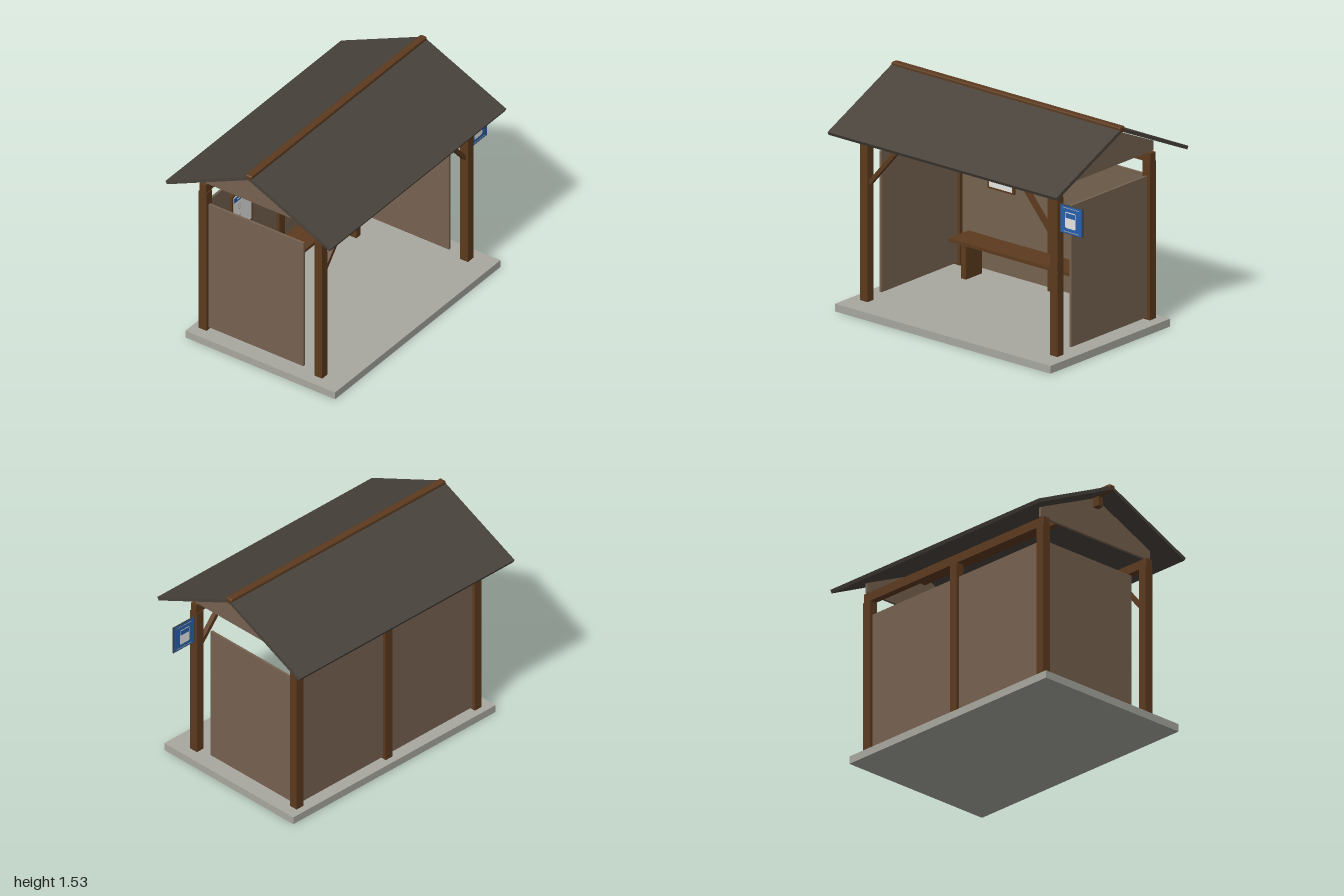
import * as THREE from 'three';
import { RoundedBoxGeometry } from 'three/addons/geometries/RoundedBoxGeometry.js';

const paint = (name, color) => {
  const m = new THREE.MeshStandardMaterial({ color });
  m.name = name;
  return m;
};

export function createModel() {
  const shelter = new THREE.Group();
  shelter.name = 'shelter';
  const wood = paint('brown timber', 0x5c3a1e);
  const panel = paint('taupe panel', 0x766250);
  const roofing = paint('dark roofing', 0x48423b);
  const concrete = paint('concrete', 0xa8a8a0);
  const blue = paint('sign blue', 0x2860ae);
  const white = paint('white', 0xe6e6e4);
  const steel = paint('dark steel', 0x3c4248);
  const grey = paint('grey print', 0xa0a0a0);

  const add = (name, geo, mat) => {
    const mesh = new THREE.Mesh(geo, mat);
    mesh.name = name;
    shelter.add(mesh);
    return mesh;
  };
  // Box given by its limits on each axis
  const box = (name, mat, x0, x1, y0, y1, z0, z1) => {
    const mesh = add(name, new THREE.BoxGeometry(x1 - x0, y1 - y0, z1 - z0), mat);
    mesh.position.set((x0 + x1) / 2, (y0 + y1) / 2, (z0 + z1) / 2);
    return mesh;
  };
  const polygon = (pts) => new THREE.Shape(pts.map(([x, y]) => new THREE.Vector2(x, y)));
  // End-on profile (z, y) swept along x
  const sweep = (name, mat, pts, x0, x1) => {
    const geo = new THREE.ExtrudeGeometry(polygon(pts.map(([z, y]) => [-z, y])), { depth: x1 - x0, bevelEnabled: false });
    geo.rotateY(Math.PI / 2).translate(x0, 0, 0);
    return add(name, geo, mat);
  };

  const cx = -0.027; // centre line of the building
  const bay = 0.807; // centre line to corner posts
  const pz = 0.46; // centre line to front and back posts
  const h = 0.031; // half post width

  // Floor slab
  box('floorSlab', concrete, -0.943, 0.889, 0, 0.053, -0.54, 0.65);

  // Posts and eave beams
  const post = (name, x, z) => box(name, wood, x - h, x + h, 0.053, 1.135, z - h, z + h);
  for (const s of [-1, 1]) {
    post('frontPost', cx + s * bay, pz);
    post('backPost', cx + s * bay, -pz);
    box('eaveBeam', wood, cx - bay - h, cx + bay + h, 1.135, 1.197, s * pz - 0.025, s * pz + 0.025);
  }
  post('middleBackPost', cx, -pz);

  // Front knee braces
  for (const s of [-1, 1]) {
    const brace = add('kneeBrace', new THREE.BoxGeometry(0.028, 0.36, 0.032), wood);
    brace.position.set(cx + s * 0.662, 1.0, pz);
    brace.rotation.z = s * 0.71;
  }

  // Wall panels
  for (const s of [-1, 1]) {
    const xs = [cx + s * h, cx + s * (bay - h)].sort((a, b) => a - b);
    box('backPanel', panel, xs[0], xs[1], 0.07, 1.04, -pz - 0.008, -pz + 0.008);
    const x = cx + s * bay;
    box('sidePanel', panel, x - 0.008, x + 0.008, 0.07, 1.04, -pz + h, 0.325);
    sweep('gable', panel, [[-0.49, 1.2], [0.49, 1.2], [0.49, 1.267], [0, 1.488], [-0.49, 1.267]], x - 0.01, x + 0.01);
  }

  // Roof slopes, ridge beam and ridge cap
  for (const s of [-1, 1]) {
    sweep('roofSlope', roofing, [[0, 1.522], [s * 0.658, 1.221], [s * 0.647, 1.199], [0, 1.497]], -1, 0.944);
  }
  box('ridgeBeam', wood, cx - 0.865, cx + 0.865, 1.415, 1.48, -0.022, 0.022);
  const cap = add('ridgeCap', new RoundedBoxGeometry(1.947, 0.042, 0.052, 2, 0.01), wood);
  cap.position.set(cx, 1.511, 0);

  // Bench
  box('benchSeat', wood, -0.73, 0.675, 0.29, 0.312, -0.429, -0.23);
  for (const s of [-1, 1]) {
    const x = cx + s * 0.594;
    box('benchLeg', wood, x - 0.022, x + 0.022, 0.053, 0.29, -0.41, -0.25);
  }

  // Notice board on the back wall
  box('noticeFrame', wood, -0.574, -0.349, 0.64, 0.94, -0.452, -0.434);
  box('noticePaper', white, -0.56, -0.363, 0.654, 0.926, -0.434, -0.431);
  box('noticeHeader', blue, -0.556, -0.367, 0.882, 0.918, -0.431, -0.429);
  box('noticeHeaderMark', white, -0.52, -0.44, 0.894, 0.904, -0.429, -0.428);
  for (const y of [0.845, 0.825, 0.81, 0.76, 0.745, 0.73, 0.71]) {
    box('noticeLine', grey, -0.508, -0.485, y, y + 0.005, -0.431, -0.4295);
  }

  // Two-sided stop sign with a plain vehicle pictogram
  box('signPlate', steel, 0.811, 1.0, 0.905, 1.1, 0.453, 0.463);
  const icon = polygon([[-0.045, -0.05], [-0.037, -0.058], [0.037, -0.058], [0.045, -0.05],
    [0.045, 0.045], [0.037, 0.053], [-0.037, 0.053], [-0.045, 0.045]]);
  icon.holes.push(polygon([[-0.039, 0.012], [-0.039, 0.046], [0.039, 0.046], [0.039, 0.012]]));
  for (const s of [-1, 1]) {
    const z = 0.458 + s * 0.005;
    const layer = (name, mat, x0, x1, y0, y1, d0, d1) => {
      const zs = [z + s * d0, z + s * d1].sort((a, b) => a - b);
      box(name, mat, x0, x1, y0, y1, zs[0], zs[1]);
    };
    layer('signFace', blue, 0.815, 0.996, 0.909, 1.096, 0, 0.002);
    layer('signStripe', grey, 0.838, 0.973, 1.08, 1.085, 0.002, 0.003);
    layer('signStripe', grey, 0.838, 0.973, 0.918, 0.923, 0.002, 0.003);
    const pictogram = add('signPictogram', new THREE.ShapeGeometry(icon), white);
    pictogram.position.set(0.9, 1.003, z + s * 0.003);
    if (s < 0) pictogram.rotation.y = Math.PI;
  }

  return shelter;
}
